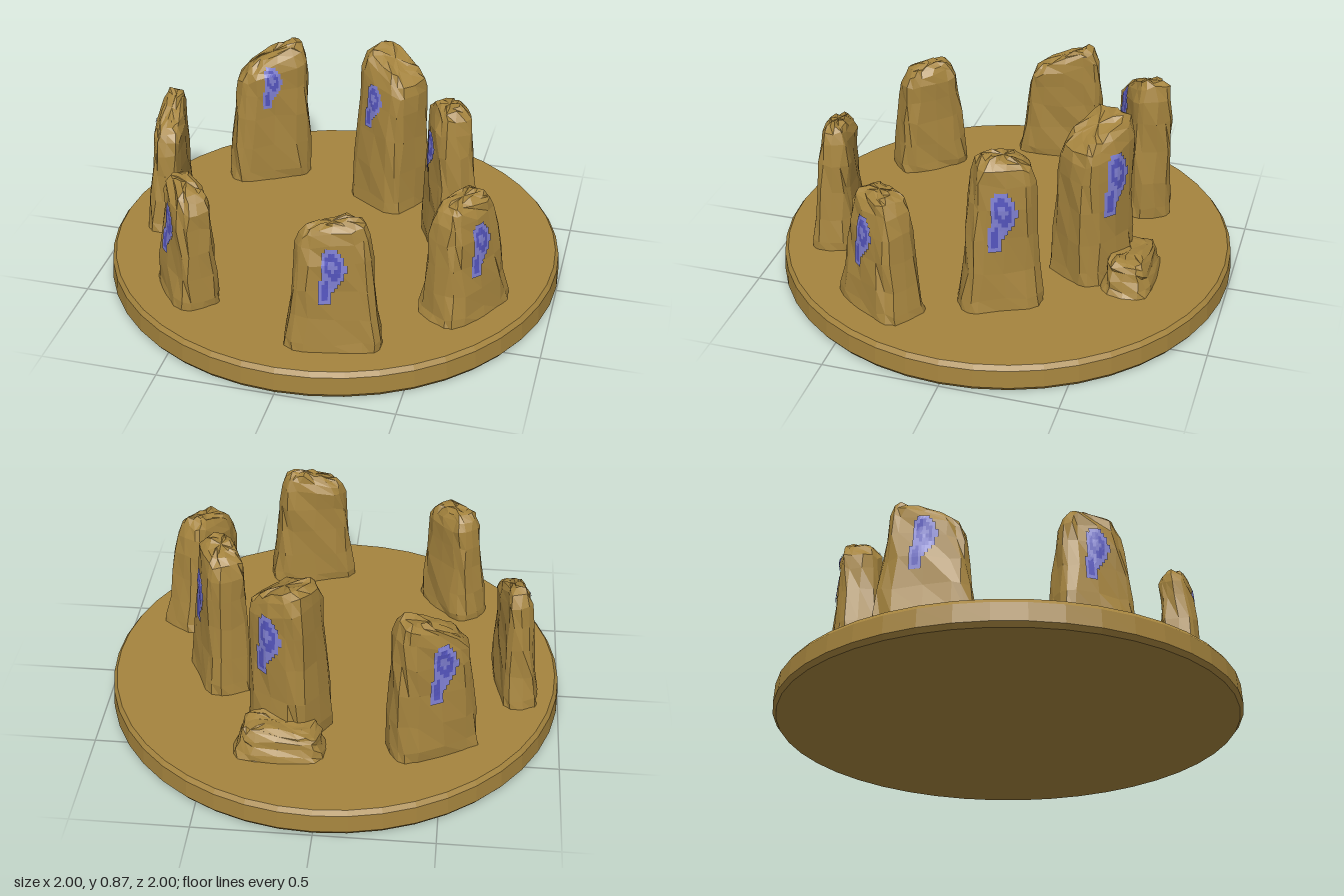
import * as THREE from 'three';

const stoneMat = new THREE.MeshStandardMaterial({ color: 0xa5843e, flatShading: true });
stoneMat.name = 'ochre stone';
const lightMat = new THREE.MeshStandardMaterial({ color: 0x7f7fd0 });
lightMat.name = 'pale blue glow';
const darkMat = new THREE.MeshStandardMaterial({ color: 0x5454bc });
darkMat.name = 'deep blue glow';

// Carved mark: L = pale, D = deep
const MARK = [
  '..LLLL...',
  '.LLDDLL..',
  '.LDDDDLL.',
  '.LDLLDDL.',
  '.LDLLLDLL',
  '.LDDLDDLL',
  '.LLDDDDL.',
  '.LLLDDLL.',
  'LLDLLLL..',
  'LDDLLL...',
  'LDDLL....',
  'LDDL.....',
  'LDDL.....',
  'LLLL.....',
];

// Height fraction and outline scale of each ring; the last rings round off the top
const RINGS = [[0, 1], [0.1, 1], [0.28, 0.98], [0.5, 1], [0.7, 1.02], [0.85, 1.03], [0.94, 0.93], [0.985, 0.74], [1, 0.45]];
const SIDES = 16;
const FOOT = 0.1;

function seeded(seed) {
  let s = seed;
  return () => {
    s = (s * 16807) % 2147483647;
    return s / 2147483647 - 0.5;
  };
}

function makeGeometry(positions, indices) {
  const g = new THREE.BufferGeometry();
  g.setAttribute('position', new THREE.Float32BufferAttribute(positions, 3));
  if (indices) g.setIndex(indices);
  g.computeVertexNormals();
  return g;
}

// Rough tapering stone, long side on x and outer face on +z
function stoneGeometry({ base, top, h, shift, drop = 0, seed }) {
  const rnd = seeded(seed * 7919 + 13);
  const pos = [], idx = [];
  const rough = (v) => Math.sign(v) * Math.abs(v) ** 0.55;
  for (let i = 0; i < 5; i++) rnd();
  for (const [t, k] of RINGS) {
    const w = THREE.MathUtils.lerp(base[0], top[0], t) * k;
    const d = THREE.MathUtils.lerp(base[1], top[1], t) * k;
    for (let j = 0; j < SIDES; j++) {
      const a = (j / SIDES) * Math.PI * 2;
      const x = rough(Math.sin(a)), z = rough(Math.cos(a));
      // The top slopes down toward +x for positive drop, -x for negative
      const fall = Math.abs(drop) * t ** 3 * (0.5 + 0.5 * x * k * Math.sign(drop));
      const n = 0.018;
      pos.push(
        x * w + shift[0] * t + rnd() * n,
        FOOT + (h - FOOT) * t - fall + (t > 0 ? rnd() * n : 0),
        z * d + shift[1] * t + rnd() * n,
      );
    }
  }
  for (let r = 0; r < RINGS.length - 1; r++) {
    for (let j = 0; j < SIDES; j++) {
      const a = r * SIDES + j, b = r * SIDES + (j + 1) % SIDES;
      idx.push(a, b, a + SIDES, b, b + SIDES, a + SIDES);
    }
  }
  // Cap
  const last = (RINGS.length - 1) * SIDES;
  pos.push(shift[0], h - Math.abs(drop) * 0.5, shift[1]);
  for (let j = 0; j < SIDES; j++) idx.push(last + j, last + (j + 1) % SIDES, last + SIDES);
  return makeGeometry(pos, idx);
}

// Thin glowing mark draped over the outer (+1) or inner (-1) face
function addMark(group, stone, side, cx, cy, height) {
  const cell = height / MARK.length, cols = MARK[0].length;
  const ray = new THREE.Raycaster();
  const project = (c, r) => {
    const x = side * (cx + (c - cols / 2) * cell * 0.72);
    const y = cy + (MARK.length / 2 - r) * cell;
    ray.set(new THREE.Vector3(x, y, side), new THREE.Vector3(0, 0, -side));
    const hit = ray.intersectObject(stone)[0];
    return hit && [x, y, hit.point.z + side * 0.005];
  };
  for (const [key, mat, name] of [['L', lightMat, 'markGlow'], ['D', darkMat, 'markGroove']]) {
    const pos = [];
    MARK.forEach((row, r) => [...row].forEach((ch, c) => {
      if (ch !== key) return;
      const q = [project(c, r + 1), project(c + 1, r + 1), project(c + 1, r), project(c, r)];
      if (q.every(Boolean)) pos.push(...q[0], ...q[1], ...q[2], ...q[0], ...q[2], ...q[3]);
    }));
    const mesh = new THREE.Mesh(makeGeometry(pos), mat);
    mesh.name = name;
    group.add(mesh);
  }
}

// at = foot centre, tip = top centre (x, z); turn = heading of the outer face
const STONES = [
  { name: 'backRightStone', at: [-0.455, -0.51], tip: [-0.43, -0.52], turn: -2.65, base: [0.2, 0.11], top: [0.15, 0.08], h: 0.82, drop: 0.15, inner: 0.6 },
  { name: 'tallBackStone', at: [0.15, -0.42], tip: [0.165, -0.435], turn: 2.57, base: [0.165, 0.145], top: [0.135, 0.105], h: 0.89, drop: -0.13, inner: 0.62 },
  { name: 'leftStone', at: [0.5, -0.11], tip: [0.475, -0.12], turn: 2.03, base: [0.18, 0.11], top: [0.115, 0.075], h: 0.815, drop: 0.03, inner: 0.58 },
  { name: 'frontLeftStone', at: [0.65, 0.36], tip: [0.625, 0.36], turn: 0.96, base: [0.2, 0.12], top: [0.115, 0.07], h: 0.66, drop: -0.03 },
  { name: 'frontStone', at: [0.18, 0.74], tip: [0.17, 0.715], turn: 0.2, base: [0.205, 0.1], top: [0.13, 0.055], h: 0.705, drop: -0.06 },
  { name: 'frontRightStone', at: [-0.51, 0.54], tip: [-0.5, 0.53], turn: -0.88, base: [0.175, 0.105], top: [0.115, 0.06], h: 0.66, drop: 0.03 },
  { name: 'rightStone', at: [-0.8, -0.05], tip: [-0.77, -0.06], turn: -1.4, base: [0.215, 0.085], top: [0.14, 0.05], h: 0.71, drop: 0.13 },
  { name: 'boulder', at: [0.175, -0.605], tip: [0.175, -0.6], turn: Math.PI, base: [0.2, 0.115], top: [0.14, 0.075], h: 0.265, drop: 0.04, plain: true },
];

export function createModel() {
  const model = new THREE.Group();
  model.name = 'stoneCircle';

  // Round plinth with worn edges
  const profile = [[0, 0], [0.985, 0], [1, 0.02], [0.995, 0.1], [0.98, 0.12], [0, 0.12]];
  const plinth = new THREE.Mesh(
    new THREE.LatheGeometry(profile.map(([x, y]) => new THREE.Vector2(x, y)), 44), stoneMat);
  plinth.name = 'plinth';
  model.add(plinth);

  // Standing stones
  STONES.forEach((s, i) => {
    const group = new THREE.Group();
    group.name = s.name;
    const dx = s.tip[0] - s.at[0], dz = s.tip[1] - s.at[1];
    const cos = Math.cos(s.turn), sin = Math.sin(s.turn);
    const shift = [dx * cos - dz * sin, dx * sin + dz * cos];
    const stone = new THREE.Mesh(stoneGeometry({ ...s, shift, seed: i + 1 }), stoneMat);
    stone.name = s.name + 'Body';
    group.add(stone);
    if (!s.plain) {
      const size = 0.1 + s.h * 0.21;
      addMark(group, stone, 1, 0, s.h * 0.66, size);
      if (s.inner) addMark(group, stone, -1, 0, s.inner, size * 0.75);
    }
    group.position.set(s.at[0], 0, s.at[1]);
    group.rotation.y = s.turn;
    model.add(group);
  });
  return model;
}
